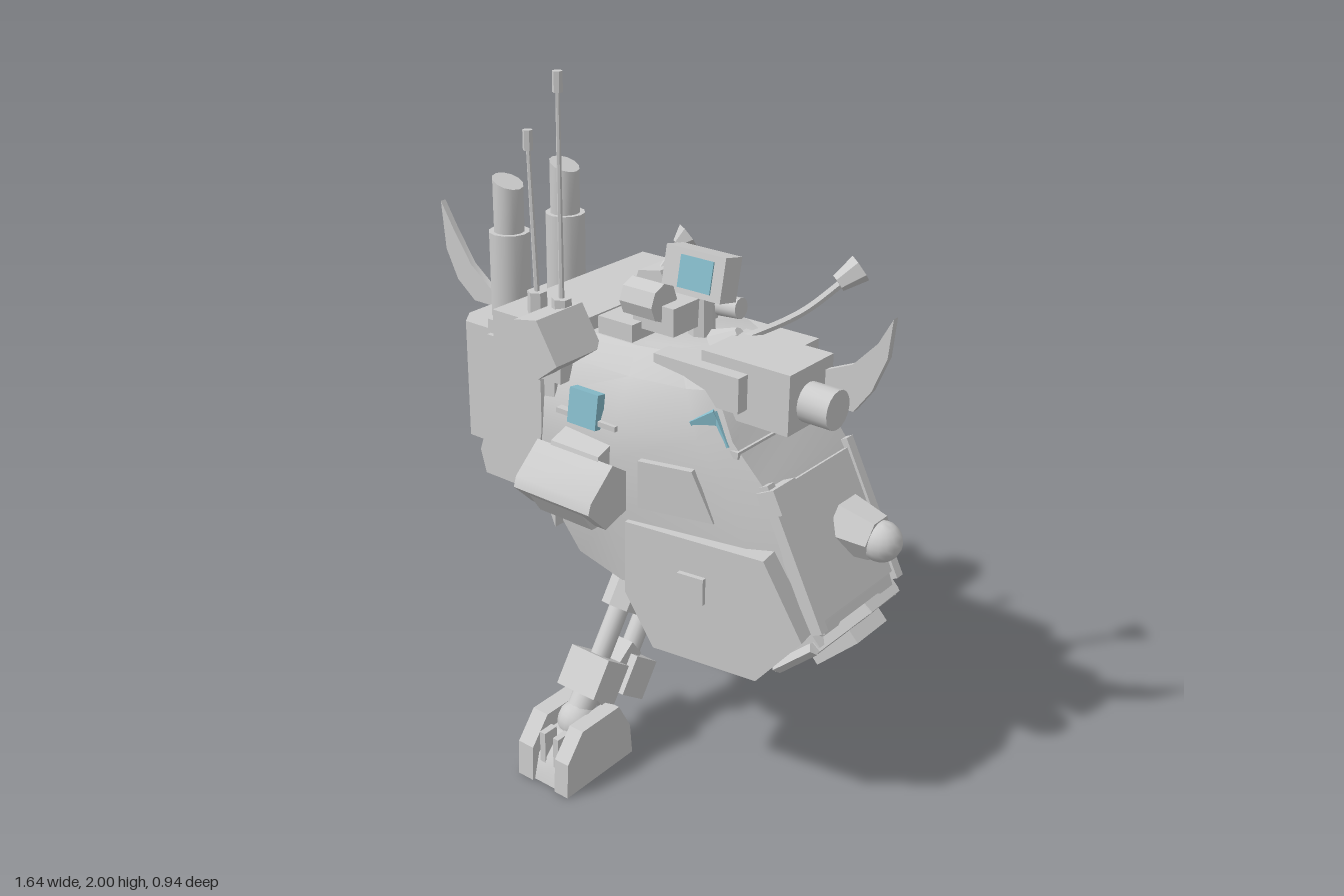
import * as THREE from 'three';
import { toCreasedNormals } from 'three/addons/utils/BufferGeometryUtils.js';

const grey = new THREE.MeshStandardMaterial({ color: 0xcccccc });
const thin = new THREE.MeshStandardMaterial({ color: 0xcccccc, side: THREE.DoubleSide });
const glass = new THREE.MeshStandardMaterial({ color: 0x86bccb });
const ZC = -0.065; // centre line of the cabin

export function createModel() {
  const model = new THREE.Group();
  model.name = 'walkerVehicle';

  function add(name, geo, pos = [0, 0, 0], rot = [0, 0, 0], mat = grey) {
    const m = new THREE.Mesh(toCreasedNormals(geo, 0.6), mat);
    m.name = name;
    m.position.set(...pos);
    m.rotation.set(...rot);
    model.add(m);
    return m;
  }
  const box = (name, size, pos, rot, mat) => add(name, new THREE.BoxGeometry(...size), pos, rot, mat);
  const shapeOf = pts => new THREE.Shape(pts.map(p => new THREE.Vector2(...p)));
  const extrude = (pts, depth) => new THREE.ExtrudeGeometry(shapeOf(pts), { depth, bevelEnabled: false });
  // side profile (x, y) spanning z0..z1
  const prismZ = (name, pts, z0, z1, mat) => add(name, extrude(pts, z1 - z0), [0, 0, z0], [0, 0, 0], mat);
  // front profile (z, y) spanning x0..x1
  const prismX = (name, pts, x0, x1) =>
    add(name, extrude(pts.map(([z, y]) => [-z, y]), x1 - x0).rotateY(Math.PI / 2), [x0, 0, 0]);
  // plan outline (x, z) spanning y0..y1
  const prismY = (name, pts, y0, y1) =>
    add(name, extrude(pts.map(([x, z]) => [x, -z]), y1 - y0).rotateX(-Math.PI / 2), [0, y0, 0]);
  function rod(name, a, b, r0, r1 = r0, sides = 12) {
    const A = new THREE.Vector3(...a), B = new THREE.Vector3(...b), d = B.clone().sub(A);
    const m = add(name, new THREE.CylinderGeometry(r1, r0, d.length(), sides), A.clone().add(B).multiplyScalar(0.5).toArray());
    m.quaternion.setFromUnitVectors(new THREE.Vector3(0, 1, 0), d.normalize());
    return m;
  }

  // Cabin shell: stacked outlines [y, x of back, middle, shoulder, front, half widths of the same]
  const slices = [
    [0.46, 0.28, 0.36, 0.50, 0.60, 0.20, 0.23, 0.22, 0.19],
    [0.61, 0.19, 0.26, 0.64, 0.75, 0.27, 0.29, 0.23, 0.17],
    [0.61, -0.05, 0.15, 0.64, 0.75, 0.24, 0.29, 0.23, 0.17],
    [0.83, -0.14, 0.15, 0.54, 0.65, 0.30, 0.33, 0.25, 0.19],
    [1.00, -0.14, 0.15, 0.46, 0.55, 0.31, 0.33, 0.25, 0.20],
    [1.10, -0.14, 0.15, 0.38, 0.46, 0.30, 0.32, 0.26, 0.21],
    [1.22, -0.14, 0.15, 0.32, 0.39, 0.26, 0.26, 0.23, 0.19],
    [1.28, -0.12, 0.12, 0.24, 0.32, 0.19, 0.19, 0.16, 0.11],
  ];
  const pos = [], index = [];
  for (const [y, b, m, s, f, hb, hm, hs, hf] of slices)
    for (const [x, w] of [[b, hb], [m, hm], [s, hs], [f, hf], [f, -hf], [s, -hs], [m, -hm], [b, -hb]])
      pos.push(x, y, ZC + w);
  for (let k = 0; k < slices.length - 1; k++)
    for (let j = 0; j < 8; j++) {
      if (j === 6 && (k === 2 || k === 3)) continue; // open doorway
      const a = k * 8 + j, b = k * 8 + (j + 1) % 8;
      index.push(a, b, b + 8, a, b + 8, a + 8);
    }
  const top = (slices.length - 1) * 8;
  for (let j = 1; j < 7; j++) index.push(top, top + j, top + j + 1, 0, j + 1, j);
  const shell = new THREE.BufferGeometry();
  shell.setAttribute('position', new THREE.Float32BufferAttribute(pos, 3));
  shell.setIndex(index);
  add('cabinShell', shell, [0, 0, 0], [0, 0, 0], thin);

  // Cabin interior and doorway trim
  box('seatBase', [0.16, 0.1, 0.2], [0.02, 0.72, -0.12]);
  box('seatBack', [0.05, 0.26, 0.2], [-0.05, 0.85, -0.12], [0, 0, 0.15]);
  box('doorPost', [0.04, 0.46, 0.04], [0.16, 0.8, -0.385]);
  box('doorLintel', [0.26, 0.05, 0.04], [0.03, 1.03, -0.375]);
  box('doorJamb', [0.04, 0.36, 0.05], [-0.11, 0.87, -0.38]);
  box('doorGlass', [0.012, 0.26, 0.04], [-0.086, 0.91, -0.38], [0, 0, 0], glass);

  // Cheek armour, with a raised panel on the right side
  const cheek = (name, pts, z, turn, depth) =>
    add(name, extrude(pts.map(([x, y]) => [x - 0.2, y]), depth), [0.2, 0, z], [0, turn, 0]);
  const near = [[0.19, 0.61], [0.28, 0.46], [0.6, 0.46], [0.73, 0.62], [0.61, 0.83], [0.19, 0.83]];
  const far = [[0.17, 0.62], [0.27, 0.48], [0.6, 0.48], [0.71, 0.64], [0.5, 0.97], [0.36, 1.05], [0.17, 1.05]];
  cheek('leftCheekArmour', near, 0.2, 0.14, 0.07);
  cheek('rightCheekArmour', far, -0.405, -0.25, 0.07);
  cheek('rightCheekPanel', far.map(([x, y]) => [0.43 + (x - 0.43) * 0.85, 0.76 + (y - 0.76) * 0.85]), -0.418, -0.25, 0.03);
  cheek('cheekHatch', [[0.37, 0.65], [0.45, 0.65], [0.45, 0.73], [0.37, 0.73]], 0.26, 0.14, 0.025);
  add('sideHatch', extrude([[0, 0], [0.22, 0], [0.155, 0.14], [0, 0.14]], 0.025), [0.23, 0.88, 0.237], [0, 0.25, 0]);

  // Sloping face, front windows
  box('facePanel', [0.03, 0.37, 0.34], [0.648, 0.81, ZC], [0, 0, 0.47]);
  box('faceVent', [0.06, 0.07, 0.1], [0.585, 0.96, 0.1], [0, 0, 0.47]);
  for (const s of [1, -1]) {
    box('frontWindow', [0.04, 0.1, 0.19], [0.42, 1.12, ZC + s * 0.125], [0, -s * 0.08, 0.55], glass);
    box('windowCorner', [0.07, 0.08, 0.02], [0.39, 1.125, ZC + s * 0.222], [0, s * 0.55, 0.5], glass);
    box('windowSill', [0.05, 0.02, 0.2], [0.46, 1.07, ZC + s * 0.12]);
    box('faceRail', [0.04, 0.42, 0.03], [0.648, 0.81, ZC + s * 0.19], [0, 0, 0.47]);
  }

  // Nose and mouth
  rod('noseCone', [0.64, 0.81, -0.135], [0.75, 0.8, -0.135], 0.085, 0.065, 6);
  add('noseLens', new THREE.SphereGeometry(0.058, 16, 10), [0.762, 0.795, -0.135]);
  box('mouthPlate', [0.04, 0.19, 0.4], [0.672, 0.535, ZC], [0, 0, -0.8]);
  for (const s of [1, -1]) {
    const corner = [0.735, 0.575, ZC + s * 0.2];
    rod('upperLip', [0.765, 0.61, ZC], corner, 0.022, 0.022, 4);
    rod('sideLip', corner, [0.62, 0.47, ZC + s * 0.2], 0.018, 0.018, 4);
  }
  box('mouthBlock', [0.08, 0.17, 0.15], [0.705, 0.525, ZC], [0, 0, -0.8]);
  for (let i = -2; i <= 2; i++)
    rod('mouthTube', [0.69, 0.48, ZC + i * 0.028], [0.775, 0.565, ZC + i * 0.028], 0.013, 0.013, 6);

  // Rear hull and its side pod
  prismZ('rearHull', [[-0.38, 0.86], [-0.36, 0.79], [-0.13, 0.79], [-0.09, 0.7], [-0.08, 1.25], [-0.14, 1.28], [-0.33, 1.28], [-0.35, 0.95]], -0.37, 0.235);
  prismZ('rearSideArmour', [[-0.33, 0.85], [-0.15, 0.85], [-0.12, 1.0], [-0.12, 1.15], [-0.18, 1.24], [-0.32, 1.24]], -0.405, 0.25);
  prismX('sidePod', [[-0.38, 0.85], [-0.47, 0.85], [-0.42, 1.04], [-0.38, 1.05]], -0.33, -0.18);

  // Side window and side lamp housing
  box('sideWindow', [0.1, 0.1, 0.03], [0.05, 1.12, 0.255], [-0.15, 0, 0], glass);
  box('sideWindowSill', [0.21, 0.015, 0.04], [0.055, 1.09, 0.245]);
  prismX('lampBracket', [[0.22, 0.9], [0.33, 0.93], [0.31, 1.02], [0.22, 1.05]], -0.03, 0.14);
  prismX('lampHousing', [[0.24, 0.86], [0.34, 0.83], [0.41, 0.9], [0.4, 0.93], [0.31, 1.01], [0.25, 0.97]], -0.08, 0.19);
  prismX('lampLower', [[0.25, 0.82], [0.35, 0.82], [0.39, 0.88], [0.25, 0.9]], -0.04, 0.15);

  // Exhaust stacks
  for (const [s, z] of [[1, 0.06], [-1, -0.18]]) {
    const outline = [[-0.5, z - s * 0.07], [-0.5, z + s * 0.08], [-0.46, z + s * 0.135], [-0.35, z + s * 0.135], [-0.35, z - s * 0.09], [-0.48, z - s * 0.09]];
    prismY('stackBase', s > 0 ? outline : outline.reverse(), 0.87, 1.23);
    rod('stackSleeve', [-0.405, 1.2, z], [-0.405, 1.48, z], 0.06);
    const pipe = new THREE.CylinderGeometry(0.045, 0.045, 0.18, 12);
    const p = pipe.attributes.position; // slanted mouth
    for (let i = 0; i < p.count; i++) if (p.getY(i) > 0) p.setY(i, p.getY(i) - p.getX(i) * 0.35 - 0.015);
    add('stackPipe', pipe, [-0.405, 1.55, z]);
  }

  // Roof cross box, roof blocks
  const cross = [[-0.17, 1.26], [-0.06, 1.195], [0.01, 1.25], [-0.06, 1.365], [-0.14, 1.35]];
  prismZ('crossBoxLeft', cross, 0.14, 0.325);
  prismZ('crossBoxRight', cross, -0.455, -0.2);
  box('roofBlock', [0.25, 0.16, 0.66], [-0.17, 1.24, -0.08]);
  box('roofRing', [0.12, 0.06, 0.32], [0.04, 1.3, -0.04]);
  box('roofRidge', [0.1, 0.05, 0.12], [0.04, 1.34, -0.04]);
  box('roofDeck', [0.28, 0.1, 0.37], [0.33, 1.23, -0.045]);

  // Forward gun
  box('gunBody', [0.28, 0.17, 0.2], [0.46, 1.225, 0]);
  rod('gunBarrel', [0.58, 1.21, 0.01], [0.69, 1.21, 0.01], 0.055, 0.055, 16);

  // Roof camera and screen
  box('screenBox', [0.2, 0.125, 0.075], [0.19, 1.45, -0.065], [-0.2, 0, 0]);
  for (const s of [1, -1])
    box('screenGlass', [0.11, 0.09, 0.01], [0.2, 1.45 + s * 0.007, -0.065 + s * 0.036], [-0.2, 0, 0], glass);
  rod('cameraBarrel', [0.06, 1.395, 0.07], [0.17, 1.395, 0.07], 0.055, 0.055, 8);
  rod('cameraArm', [0.16, 1.34, -0.13], [0.28, 1.35, -0.13], 0.03);
  box('cameraMount', [0.14, 0.08, 0.2], [0.14, 1.35, -0.02]);
  rod('screenPost', [0.2, 1.26, -0.06], [0.2, 1.42, -0.06], 0.04, 0.03, 8);

  // Stalk lamp and small dish
  const stalk = new THREE.CatmullRomCurve3([[0.28, 1.27, -0.04], [0.36, 1.31, -0.08], [0.44, 1.36, -0.19], [0.52, 1.45, -0.28]].map(p => new THREE.Vector3(...p)));
  add('stalk', new THREE.TubeGeometry(stalk, 12, 0.012, 6));
  rod('stalkBase', [0.28, 1.26, -0.05], [0.33, 1.31, -0.06], 0.06, 0.02, 8);
  rod('stalkLamp', [0.5, 1.435, -0.265], [0.54, 1.475, -0.31], 0.025, 0.04, 6);
  rod('dishArm', [-0.1, 1.32, -0.22], [-0.08, 1.42, -0.32], 0.01, 0.01, 6);
  rod('dish', [-0.09, 1.41, -0.315], [-0.07, 1.435, -0.345], 0.015, 0.04, 6);

  // Whip aerials
  for (const [x, tip, y] of [[-0.09, -0.09, 2], [-0.18, -0.2, 1.83]]) {
    rod('aerialBase', [x, 1.31, 0.19], [x, 1.385, 0.19], 0.028, 0.028, 6);
    rod('aerial', [x, 1.36, 0.19], [tip, y - 0.03, 0.19], 0.008, 0.006, 6);
    rod('aerialTip', [tip, y - 0.055, 0.19], [tip, y, 0.19], 0.014, 0.014, 6);
  }

  // Horns
  prismZ('rearHorn', [[-0.82, 1.46], [-0.805, 1.31], [-0.76, 1.22], [-0.69, 1.165], [-0.61, 1.165], [-0.575, 1.14], [-0.52, 1.2], [-0.62, 1.22], [-0.7, 1.28], [-0.77, 1.38]], -0.09, -0.07, thin);
  prismZ('frontHorn', [[0.79, 1.46], [0.75, 1.385], [0.68, 1.31], [0.59, 1.27], [0.59, 1.18], [0.69, 1.18], [0.74, 1.25], [0.78, 1.35]], -0.085, -0.065, thin);

  // Leg: hip collar, twin pistons, knee yoke, ankle
  const X = 0.06;
  box('hipCollar', [0.2, 0.08, 0.26], [X, 0.575, -0.06]);
  const slope = 0.61; // tilt of the leg away from vertical
  for (const [z, y] of [[0.25, 0.27], [0.12, 0.22]]) {
    const at = h => [X, h, z - (h - y) * Math.tan(slope)];
    rod('piston', at(y), at(0.62), 0.03);
    rod('pistonSleeve', at(0.44), at(0.56), 0.055, 0.055, 6);
    box('kneeBlock', [0.14, 0.12, 0.11], [X, y, z], [-slope, 0, 0]);
  }
  box('kneeYoke', [0.09, 0.07, 0.2], [X, 0.25, 0.185], [slope, 0, 0]);
  rod('ankle', [X, 0.25, 0.26], [X, 0.15, 0.33], 0.04);
  add('ankleBall', new THREE.SphereGeometry(0.06, 16, 10), [X, 0.15, 0.32]);

  // Foot: two outer slabs around a lower centre
  const foot = [[0.18, 0], [0.47, 0], [0.465, 0.11], [0.4, 0.19], [0.24, 0.19], [0.19, 0.1]];
  prismX('footSlab', foot, -0.04, 0.015);
  prismX('footSlab', foot, 0.1, 0.15);
  prismX('footCentre', [[0.19, 0], [0.46, 0], [0.44, 0.08], [0.38, 0.14], [0.25, 0.14], [0.2, 0.08]], 0.01, 0.11);
  for (const x of [0.035, 0.085]) box('footToe', [0.02, 0.1, 0.05], [x, 0.11, 0.42]);

  return model;
}
